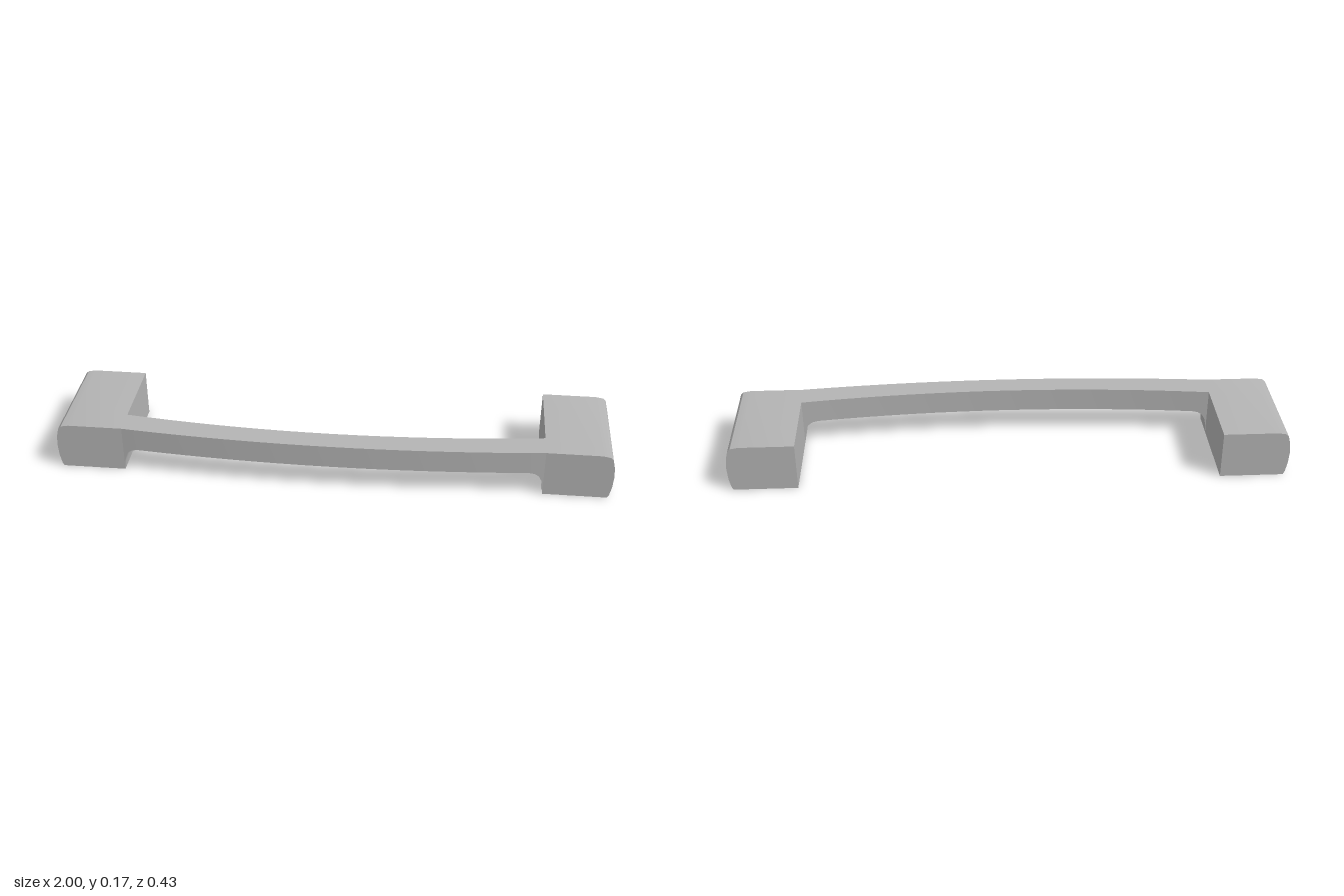
import * as THREE from 'three';
import { toCreasedNormals } from 'three/addons/utils/BufferGeometryUtils.js';

const BLOCK_X = 0.755, TOP = 0.175;

// End block: front profile with a bowed outer side, extruded along z
function blockGeometry() {
  const profile = [
    [BLOCK_X, 0], [0.983, 0], [0.989, 0.012], [0.996, 0.046], [0.999, 0.09],
    [0.996, 0.128], [0.988, 0.16], [0.978, 0.17], [0.95, TOP], [BLOCK_X, TOP],
  ].map(([x, y]) => new THREE.Vector2(x, y));
  const geo = new THREE.ExtrudeGeometry(new THREE.Shape(profile), { depth: 0.391, bevelEnabled: false });
  geo.translate(0, 0, -0.215);
  return toCreasedNormals(geo, 0.6);
}

// Bowed bar: rectangular sections along x, the underside flaring down into the blocks
function barGeometry() {
  const flare = [[0.7, 0.09], [0.722, 0.086], [0.738, 0.075], [0.748, 0.056], [0.753, 0.03], [BLOCK_X, 0]];
  const stations = flare.map(([x, y]) => [-x, y]).reverse();
  for (let i = 1; i < 16; i++) stations.push([-0.7 + (1.4 * i) / 16, 0.09]);
  stations.push(...flare);

  const sections = stations.map(([x, bottom]) => {
    const t = (x / BLOCK_X) ** 2;
    const outer = 0.215 - 0.039 * t, inner = 0.132 - 0.05 * t;
    return [[x, bottom, outer], [x, bottom, inner], [x, TOP, inner], [x, TOP, outer]];
  });

  const pos = [];
  for (let i = 0; i < sections.length - 1; i++) {
    const a = sections[i], b = sections[i + 1];
    for (let j = 0; j < 4; j++) {
      const k = (j + 1) % 4;
      pos.push(...a[j], ...a[k], ...b[k], ...a[j], ...b[k], ...b[j]);
    }
  }
  const geo = new THREE.BufferGeometry();
  geo.setAttribute('position', new THREE.Float32BufferAttribute(pos, 3));
  return toCreasedNormals(geo, 0.6);
}

export function createModel() {
  const group = new THREE.Group();
  group.name = 'bowedHandle';
  const grey = new THREE.MeshStandardMaterial({ color: 0xb4b4b4 });
  grey.name = 'grey';

  const add = (name, geo) => {
    const mesh = new THREE.Mesh(geo, grey);
    mesh.name = name;
    group.add(mesh);
    return mesh;
  };

  add('bar', barGeometry());
  add('leftEndBlock', blockGeometry());
  // The block is symmetric in z, so a half turn about its z centre mirrors it
  const right = add('rightEndBlock', blockGeometry());
  right.rotation.y = Math.PI;
  right.position.z = -0.039;
  return group;
}
